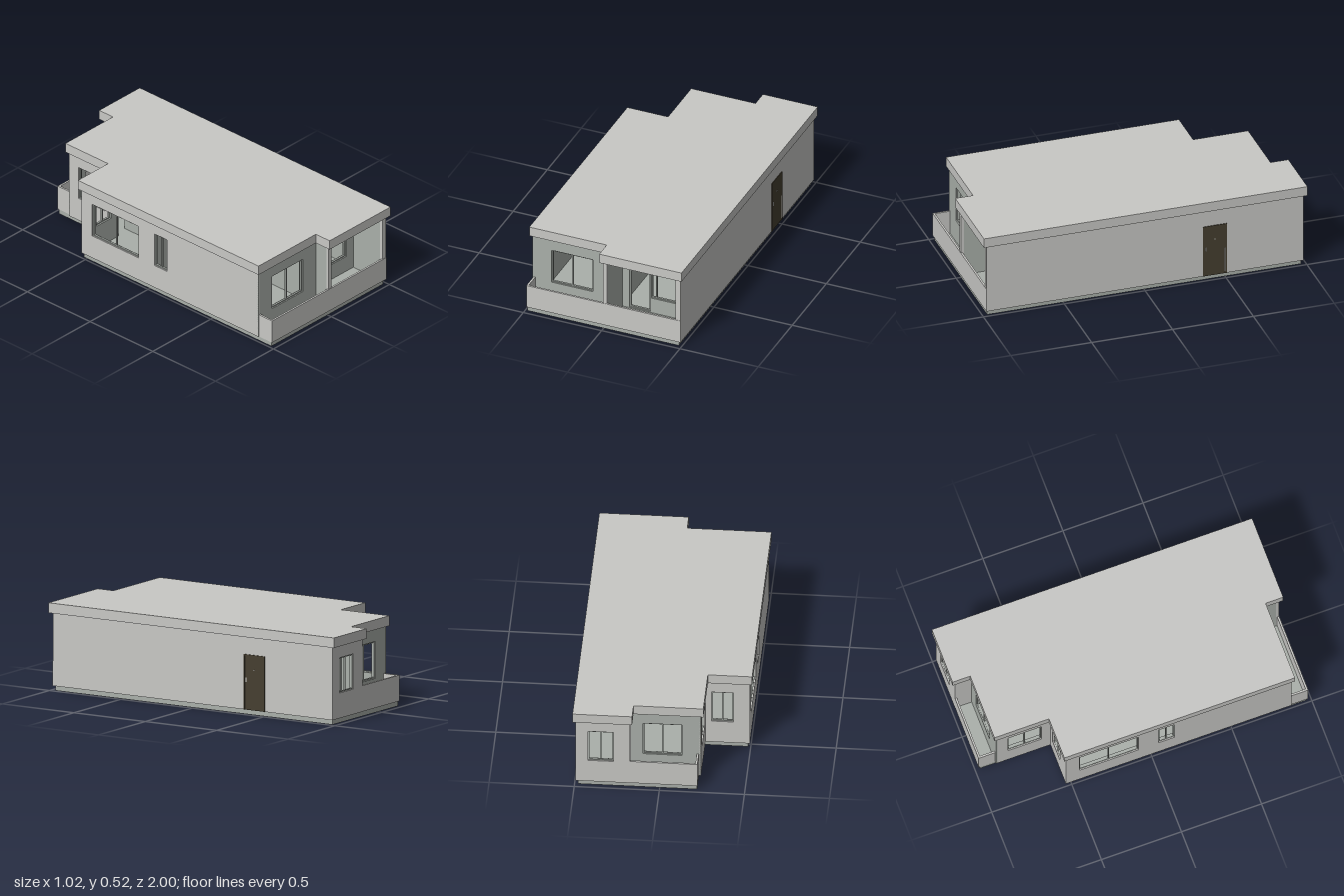
import * as THREE from 'three';

export function createModel() {
  const root = new THREE.Group();
  root.name = 'singleStoreyHouse';
  const mat = (name, hex) => {
    const m = new THREE.MeshStandardMaterial({ color: hex });
    m.name = name;
    return m;
  };
  const light = mat('light grey render', 0xc8c8c5);
  const green = mat('green grey plaster', 0xaab0aa);
  const brown = mat('dark brown door', 0x453e30);
  const metal = mat('pale metal', 0xd8d8d4);
  const black = mat('black handle', 0x222222);

  const FLOOR = 0.03, CEIL = 0.466, T = 0.03;

  // Box given by its minimum and maximum corners
  function box(name, m, x0, y0, z0, x1, y1, z1, parent = root) {
    const mesh = new THREE.Mesh(new THREE.BoxGeometry(x1 - x0, y1 - y0, z1 - z0), m);
    mesh.position.set((x0 + x1) / 2, (y0 + y1) / 2, (z0 + z1) / 2);
    mesh.name = name;
    parent.add(mesh);
    return mesh;
  }

  // Horizontal slab from an outline of [x, z] corners
  function slab(name, m, pts, y0, y1) {
    const s = new THREE.Shape(pts.map(([x, z]) => new THREE.Vector2(x, -z)));
    const g = new THREE.ExtrudeGeometry(s, { depth: y1 - y0, bevelEnabled: false });
    g.rotateX(-Math.PI / 2);
    const mesh = new THREE.Mesh(g, m);
    mesh.position.y = y0;
    mesh.name = name;
    root.add(mesh);
  }

  // One wall layer with rectangular openings [u0, u1, y0, y1]
  function layer(name, m, u0, u1, openings, zBack, depth, parent) {
    const s = new THREE.Shape();
    s.moveTo(u0, FLOOR).lineTo(u1, FLOOR).lineTo(u1, CEIL).lineTo(u0, CEIL).closePath();
    for (const [a, b, y0, y1] of openings) {
      const h = new THREE.Path();
      h.moveTo(a, y0).lineTo(a, y1).lineTo(b, y1).lineTo(b, y0).closePath();
      s.holes.push(h);
    }
    const mesh = new THREE.Mesh(new THREE.ExtrudeGeometry(s, { depth, bevelEnabled: false }), m);
    mesh.position.z = zBack;
    mesh.name = name;
    parent.add(mesh);
  }

  // Frame with mullions at the given fractions of the width
  function frame([a, b, y0, y1], mullions, parent) {
    const w = 0.007, z0 = -0.02, z1 = -0.008;
    const bar = (p, q, r, s) => box('windowFrame', green, p, q, z0, r, s, z1, parent);
    bar(a, y0, b, y0 + w);
    bar(a, y1 - w, b, y1);
    for (const f of [0, ...mullions, 1]) {
      const u = a + (b - a - w) * f;
      bar(u, y0 + w, u + w, y1 - w);
    }
  }

  // Wall: outer face starts at (x, z), runs along its own axis and faces outward by angle.
  // Openings give two positions on the world axis, sill, head and mullions.
  function wall(name, x, z, angle, length, outer, openings = []) {
    const g = new THREE.Group();
    g.name = name;
    g.position.set(x, 0, z);
    g.rotation.y = angle;
    root.add(g);
    const start = Math.abs(Math.cos(angle)) > 0.5 ? x : z;
    const holes = openings.map(([a, b, y0, y1]) => {
      const u = [Math.abs(a - start), Math.abs(b - start)].sort((p, q) => p - q);
      return [u[0], u[1], y0, y1];
    });
    layer('outerFace', outer, 0, length, holes, -0.01, 0.01, g);
    layer('innerFace', green, 0.005, length - 0.005, holes, -T, T - 0.01, g);
    holes.forEach((h, i) => frame(h, openings[i][4], g));
  }

  // Base and stepped flat roof
  slab('foundation', green, [[-0.485, 0.97], [0.48, 0.97], [0.48, -0.97], [-0.22, -0.97],
    [-0.22, -0.525], [-0.485, -0.525]], 0, FLOOR);
  slab('roof', light, [[-0.51, 0.89], [-0.015, 0.89], [-0.015, 1], [0.51, 1], [0.51, -1], [0.16, -1],
    [0.16, -0.89], [-0.25, -0.89], [-0.25, -0.55], [-0.51, -0.55]], 0.465, 0.525);

  // Outer walls
  const SILL = 0.18, HEAD = 0.39, H = Math.PI / 2;
  wall('frontWall', -0.495, 0.875, 0, 0.515, green, [[-0.375, -0.11, SILL - 0.01, HEAD, [0.5]]]);
  wall('loggiaBackWall', 0.005, 0.745, 0, 0.475, green, [
    [0.068, 0.2, FLOOR + 0.005, 0.357, []], [0.204, 0.405, 0.13, 0.357, [0.15]]]);
  wall('rightWall', 0.495, 0.975, H, 1.955, light);
  wall('backWall', 0.495, -0.98, Math.PI, 0.32, light, [[0.42, 0.27, SILL, HEAD, [0.5]]]);
  wall('backReturnWall', 0.175, -0.98, -H, 0.105, light);
  wall('backBalconyWall', 0.205, -0.875, Math.PI, 0.44, green, [[0.106, -0.125, SILL - 0.01, HEAD, [0.5]]]);
  wall('stepSideWall', -0.235, -0.875, -H, 0.34, light, [[-0.8, -0.59, SILL, HEAD, [0.5]]]);
  wall('stepBackWall', -0.205, -0.535, Math.PI, 0.29, light, [[-0.27, -0.4, SILL, HEAD, [0.5]]]);
  wall('leftWall', -0.495, -0.535, -H, 1.41, light, [
    [-0.45, -0.08, SILL, HEAD + 0.005, [0.5]], [0.045, 0.145, SILL, HEAD + 0.005, [0.5]]]);

  // Loggia side wall, posts and ceiling lamp
  box('loggiaSideWall', green, 0.001, FLOOR, 0.72, 0.024, CEIL, 0.96);
  box('loggiaPost', light, 0, FLOOR, 0.96, 0.025, CEIL, 0.978);
  box('loggiaCornerPost', light, 0.464, FLOOR, 0.96, 0.4955, CEIL, 0.978);
  const lamp = new THREE.Mesh(new THREE.CylinderGeometry(0.028, 0.024, 0.009, 24), metal);
  lamp.position.set(0.247, 0.461, 0.86);
  lamp.name = 'ceilingLamp';
  root.add(lamp);

  // Balcony parapets
  box('frontParapet', light, -0.49, FLOOR, 0.968, 0.496, 0.178, 0.98);
  box('frontParapetSide', light, -0.49, FLOOR, 0.87, -0.478, 0.178, 0.968);
  box('backParapet', light, -0.222, FLOOR, -0.979, 0.18, 0.185, -0.967);
  box('backParapetSide', light, -0.222, FLOOR, -0.967, -0.21, 0.185, -0.87);

  // Entrance door on the right side
  const door = new THREE.Group();
  door.name = 'entranceDoor';
  root.add(door);
  box('doorLeaf', brown, 0.49, FLOOR, -0.498, 0.4965, 0.352, -0.365, door);
  box('doorJamb', brown, 0.49, FLOOR, -0.367, 0.499, 0.36, -0.358, door);
  box('doorJamb', brown, 0.49, FLOOR, -0.506, 0.499, 0.36, -0.497, door);
  box('doorHead', brown, 0.49, 0.351, -0.497, 0.499, 0.36, -0.367, door);
  box('doorEdgeStrip', metal, 0.49, 0.045, -0.496, 0.4972, 0.2, -0.493, door);
  box('doorHandle', metal, 0.4965, 0.195, -0.38, 0.5, 0.222, -0.375, door);
  box('peephole', metal, 0.4965, 0.266, -0.434, 0.498, 0.271, -0.429, door);

  // Inner partitions
  box('partition', green, -0.47, FLOOR, 0.3, 0.02, CEIL, 0.32);
  box('partition', green, 0.0, FLOOR, 0.32, 0.02, CEIL, 0.72);
  box('partition', green, 0.085, FLOOR, -0.2, 0.47, CEIL, -0.18);
  box('partition', green, -0.12, FLOOR, -0.54, -0.1, CEIL, 0.3);
  box('partition', green, -0.47, FLOOR, 0.0, -0.12, CEIL, 0.02);
  box('partition', green, 0.19, FLOOR, -0.85, 0.21, CEIL, -0.2);
  box('innerDoor', green, -0.175, FLOOR, 0.32, -0.11, 0.352, 0.326);
  box('innerDoor', green, 0.09, FLOOR, -0.18, 0.155, 0.352, -0.174);
  box('innerDoorHandle', black, 0.145, 0.185, -0.174, 0.151, 0.194, -0.166);

  return root;
}
